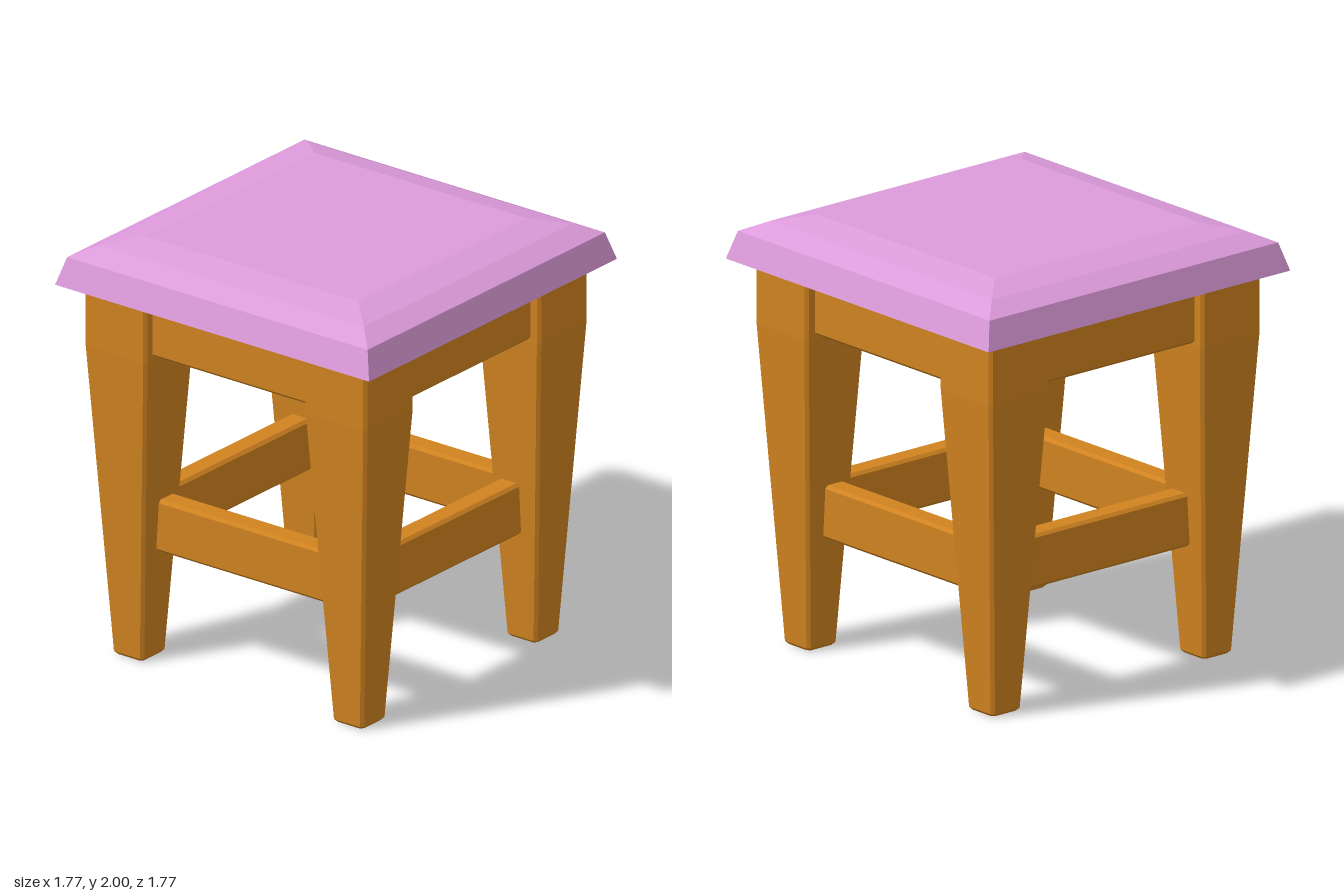
import * as THREE from 'three';

const wood = new THREE.MeshStandardMaterial({ color: 0xd08320, flatShading: true });
const cushion = new THREE.MeshStandardMaterial({ color: 0xdd9bdb, flatShading: true });

// Corner points of a rectangle, optionally chamfered, counter-clockwise from above
function section(hx, hz, c) {
  if (!c) return [[hx, hz], [hx, -hz], [-hx, -hz], [-hx, hz]];
  return [
    [hx, hz - c], [hx, c - hz], [hx - c, -hz], [c - hx, -hz],
    [-hx, c - hz], [-hx, hz - c], [c - hx, hz], [hx - c, hz],
  ];
}

// Closed solid through rings of [y, halfX, halfZ]
function loft(rings, chamfer = 0) {
  const pos = [], idx = [];
  let n = 0;
  for (const [y, hx, hz] of rings) {
    const pts = section(hx, hz, chamfer);
    n = pts.length;
    for (const [x, z] of pts) pos.push(x, y, z);
  }
  for (let i = 0; i < rings.length - 1; i++) {
    for (let j = 0; j < n; j++) {
      const a = i * n + j, b = i * n + (j + 1) % n;
      idx.push(a, b, b + n, a, b + n, a + n);
    }
  }
  const top = (rings.length - 1) * n;
  for (let j = 1; j < n - 1; j++) {
    idx.push(0, j + 1, j);
    idx.push(top, top + j, top + j + 1);
  }
  const geo = new THREE.BufferGeometry();
  geo.setAttribute('position', new THREE.Float32BufferAttribute(pos, 3));
  geo.setIndex(idx);
  const flat = geo.toNonIndexed();
  flat.computeVertexNormals();
  return flat;
}

// Horizontal bar along x with chamfered long edges
function bar(halfLength, height, depth) {
  const h = height / 2, d = depth / 2;
  return loft([[-halfLength, h, d], [halfLength, h, d]], 0.014).rotateZ(Math.PI / 2);
}

export function createModel() {
  const model = new THREE.Group();
  model.name = 'stool';

  const add = (name, geo, mat, x, y, z, parent = model) => {
    const mesh = new THREE.Mesh(geo, mat);
    mesh.name = name;
    mesh.position.set(x, y, z);
    parent.add(mesh);
  };

  // Seat cushion with a domed, faceted rim
  const seat = [[1.785, 0.885], [1.915, 0.847], [1.965, 0.745], [2, 0.6]];
  add('seat', loft(seat.map(([y, h]) => [y, h, h])), cushion, 0, 0, 0);

  // Legs: straight at the top, tapering to the feet
  const leg = [[0, 0.073], [0.014, 0.086], [1.49, 0.175], [1.771, 0.175], [1.785, 0.163]];
  const legGeo = loft(leg.map(([y, h]) => [y, h, h]), 0.014);
  const apronGeo = bar(0.5, 0.28, 0.112);
  const stretcherGeo = bar(0.55, 0.25, 0.112);

  // Four sides, each with a leg, an apron under the seat and a lower stretcher
  ['front', 'left', 'back', 'right'].forEach((side, i) => {
    const group = new THREE.Group();
    group.name = side + 'Side';
    group.rotation.y = i * Math.PI / 2;
    add(side + 'Leg', legGeo, wood, 0.62, 0, 0.62, group);
    add(side + 'Apron', apronGeo, wood, 0, 1.645, 0.689, group);
    add(side + 'Stretcher', stretcherGeo, wood, 0, 0.648, 0.59, group);
    model.add(group);
  });

  return model;
}
